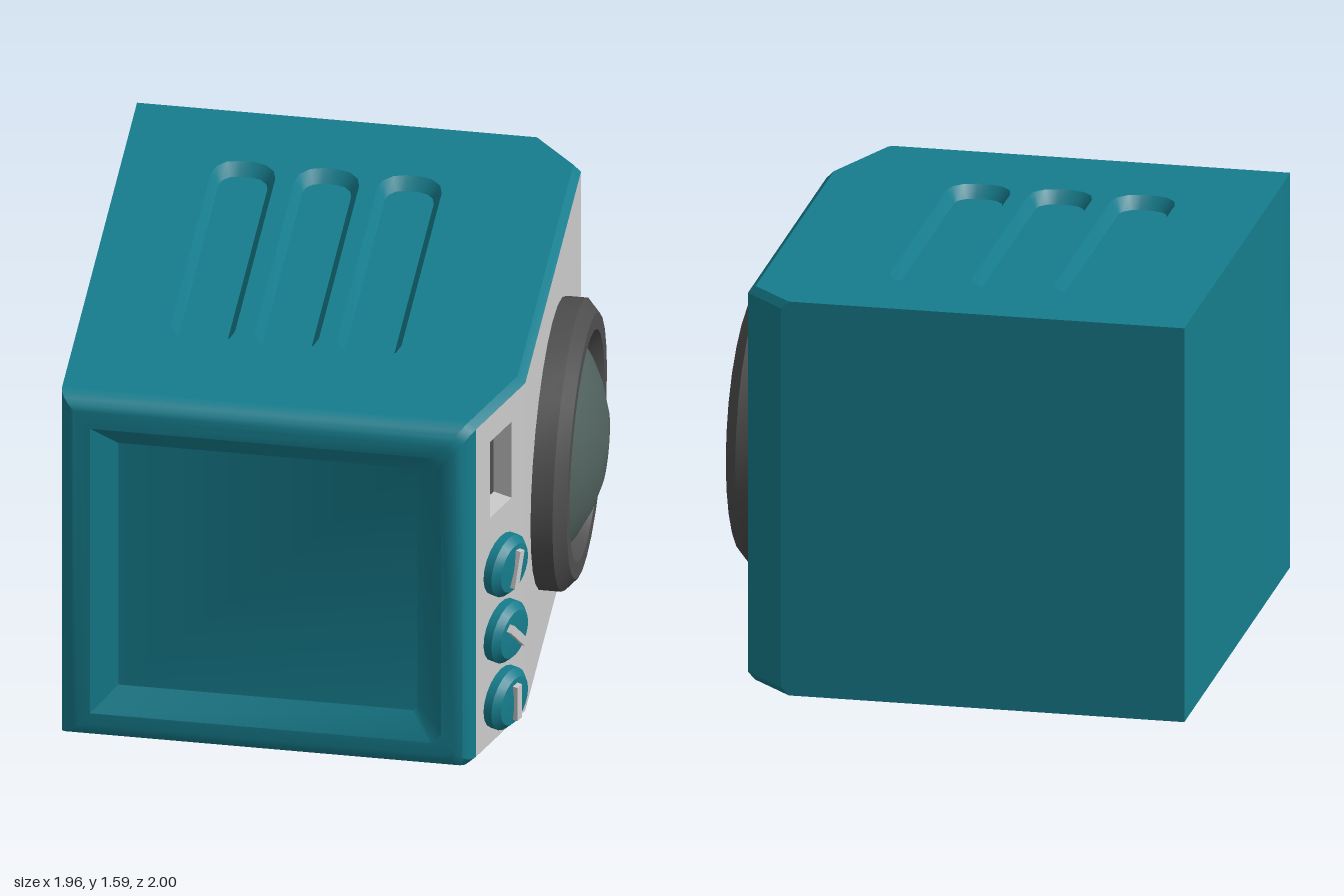
import * as THREE from 'three';
import { toCreasedNormals } from 'three/addons/utils/BufferGeometryUtils.js';

const V = (x, y, z) => new THREE.Vector3(x, y, z);
const paint = (color) => new THREE.MeshStandardMaterial({ color });
const TEAL = paint(0x167d8d), GREY = paint(0xcccccc), DARK = paint(0x4e4e4e), GLASS = paint(0x50615d);

function add(parent, name, geometry, material) {
  const mesh = new THREE.Mesh(geometry, material);
  mesh.name = name;
  parent.add(mesh);
  return mesh;
}

// Skin between successive loops; capEnd / capStart close the last / first loop
function loft(loops, { skip = () => false, capEnd = false, capStart = false } = {}) {
  const pts = [];
  for (let k = 0; k + 1 < loops.length; k++) {
    const a = loops[k], b = loops[k + 1];
    a.forEach((p, i) => {
      if (skip(k, i)) return;
      const j = (i + 1) % a.length;
      pts.push(p, a[j], b[j], p, b[j], b[i]);
    });
  }
  const fan = (l) => { for (let i = 1; i + 1 < l.length; i++) pts.push(l[0], l[i], l[i + 1]); };
  if (capEnd) fan(loops[loops.length - 1]);
  if (capStart) fan([...loops[0]].reverse());
  return toCreasedNormals(new THREE.BufferGeometry().setFromPoints(pts), 0.5);
}

// Rectangle with its two right-hand corners cut off
const section = (x0, x1, y0, y1, z, c = 0.03) => [
  V(x0, y0, z), V(x1 - c, y0, z), V(x1, y0 + c, z), V(x1, y1 - c, z), V(x1 - c, y1, z), V(x0, y1, z)];

// Counter-clockwise rounded rectangle
function slotLoop(cx, cy, hw, hl, r, z) {
  const loop = [];
  [[1, 1], [-1, 1], [-1, -1], [1, -1]].forEach(([sx, sy], q) => {
    for (let i = 0; i <= 3; i++) {
      const a = (q + i / 3) * Math.PI / 2;
      loop.push(V(cx + sx * (hw - r) + r * Math.cos(a), cy + sy * (hl - r) + r * Math.sin(a), z));
    }
  });
  return loop;
}

const rectLoop = (hw, y0, y1, z) => [V(-hw, y0, z), V(hw, y0, z), V(hw, y1, z), V(-hw, y1, z)];

function plate(outline, holes) {
  const shape = new THREE.Shape(outline);
  shape.holes = holes.map((h) => new THREE.Path(h));
  return new THREE.ShapeGeometry(shape);
}

const X0 = -0.98, X1 = 0.765, XB = 0.6, XF = 0.625, H = 1.59, C = 0.03;

// Body shell from back to front, ending in the recessed front panel
function buildBody(group) {
  const loops = [
    section(X0, XB, 0, H, -1), section(X0, X1, 0, H, -0.84),
    section(X0, X1, 0, H, 0.59), section(X0, XF, 0, H, 0.925)];
  const r = 0.075;
  for (let i = 1; i <= 5; i++) {
    const a = i * Math.PI / 10, s = Math.sin(a), inset = r * (1 - Math.cos(a));
    loops.push(section(X0 + inset, XF - 0.6 * inset - 0.03 * s, inset, H - inset, 0.925 + r * s));
  }
  loops.push(section(-0.86, 0.5, 0.13, 1.46, 1, 0.04), section(-0.76, 0.4, 0.23, 1.36, 0.935, 0.02));
  const skip = (k, i) => (k < 3 && (i === 0 || i === 4)) || ((k === 1 || k === 2) && i === 2);
  add(group, 'body', loft(loops, { skip, capEnd: true, capStart: true }), TEAL);

  // Top and bottom plates with three sunken vents each
  for (const s of [1, -1]) {
    const place = (g) => g.rotateX(-s * Math.PI / 2).translate(0, s > 0 ? H : 0, 0);
    const side = s > 0 ? 'top' : 'bottom';
    const outline = [[X0, -1], [XB - C, -1], [X1 - C, -0.84], [X1 - C, 0.59], [XF - C, 0.925], [X0, 0.925]]
      .map(([x, z]) => new THREE.Vector2(x, -s * z));
    const rims = [-0.505, -0.18, 0.14].map((x) => {
      const rim = slotLoop(x, s * 0.06, 0.125, 0.615, 0.1, 0);
      const floor = slotLoop(x, s * 0.06, 0.095, 0.58, 0.07, -0.05);
      add(group, side + 'Vent', place(loft([rim, floor], { capEnd: true })), TEAL);
      return rim;
    });
    add(group, side + 'Plate', place(plate(outline, rims)), TEAL);
  }
}

// Control knob with a pointer bar
function buildKnob(y, turn) {
  const knob = new THREE.Group();
  knob.name = 'knob';
  const profile = [[0.127, 0], [0.127, 0.035], [0.112, 0.05], [0.1, 0.062], [0, 0.072]]
    .map(([r, h]) => new THREE.Vector2(r, h));
  const dial = new THREE.LatheGeometry(profile, 20).rotateX(Math.PI / 2);
  add(knob, 'dial', toCreasedNormals(dial, 0.5), TEAL);
  add(knob, 'pointer', new THREE.BoxGeometry(0.032, 0.155, 0.03), GREY).position.z = 0.07;
  knob.position.y = y;
  knob.rotation.z = turn;
  return knob;
}

// Angled control panel with display window and knobs
function buildControls() {
  const panel = new THREE.Group();
  panel.name = 'controlPanel';
  const dx = X1 - XF, dz = 0.925 - 0.59, half = Math.hypot(dx, dz) / 2;
  panel.position.set((X1 + XF) / 2, 0, (0.925 + 0.59) / 2);
  panel.rotation.y = Math.atan2(dz, dx);
  const rim = rectLoop(0.08, 1.085, 1.44, 0), back = rectLoop(0.08, 1.085, 1.44, -0.08);
  add(panel, 'controlFace', plate(rectLoop(half, C, H - C, 0), [rim]), GREY);
  add(panel, 'windowWalls', loft([rim, back]), GREY);
  add(panel, 'windowFloor', plate(back, []).translate(0, 0, -0.08), DARK);
  [[0.827, -0.28], [0.517, 0.7], [0.205, 0]].forEach(([y, turn]) => panel.add(buildKnob(y, turn)));
  return panel;
}

// Round door: dark rim and domed glass, turned about the x axis
function buildDoor() {
  const door = new THREE.Group();
  door.name = 'door';
  const lathe = (pts) => new THREE.LatheGeometry(pts.map(([r, x]) => new THREE.Vector2(r, x)), 28)
    .rotateZ(-Math.PI / 2);
  const rim = lathe([[0.567, 0], [0.567, 0.085], [0.515, 0.133], [0.45, 0.133], [0.41, 0.07]]);
  add(door, 'doorRim', toCreasedNormals(rim, 0.5), DARK);
  const R = 0.664, tip = 0.217;
  const dome = [0.413, 0.35, 0.26, 0.15, 0].map((r) => [r, tip - R + Math.sqrt(R * R - r * r)]);
  add(door, 'doorGlass', lathe(dome), GLASS);
  door.position.set(X1, 0.797, -0.11);
  return door;
}

export function createModel() {
  const model = new THREE.Group();
  model.name = 'washingMachine';
  buildBody(model);
  // Grey side panel behind the door
  const side = new THREE.PlaneGeometry(0.84 + 0.59, H - 2 * C).rotateY(Math.PI / 2);
  add(model, 'sidePanel', side, GREY).position.set(X1, H / 2, (0.59 - 0.84) / 2);
  model.add(buildControls(), buildDoor());
  return model;
}
